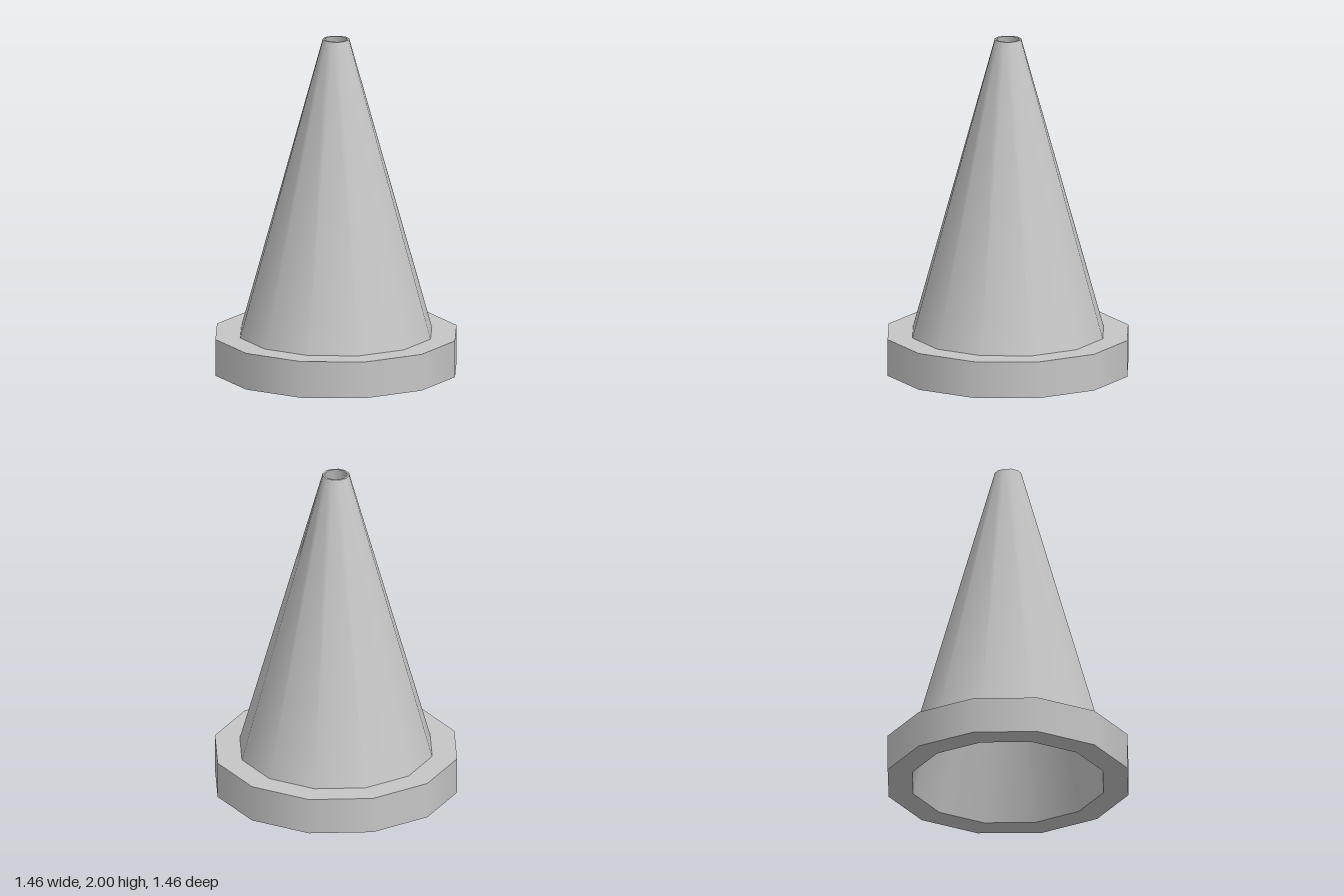
import * as THREE from 'three';

const SIDES = 12;
const HEIGHT = 2;
const BASE_HEIGHT = 0.22;
const BASE_RADIUS = 0.73;
const CONE_RADIUS = 0.58;
const TIP_RADIUS = 0.08;
const HOLE_RADIUS = 0.067;

export function createModel() {
  const model = new THREE.Group();
  model.name = 'trafficCone';
  const grey = new THREE.MeshStandardMaterial({ color: 0xc6c6c6 });
  grey.name = 'plain grey';

  // One ring of faces between two [radius, height] points, smooth around the axis
  const ring = (parent, name, from, to) => {
    const profile = [new THREE.Vector2(...from), new THREE.Vector2(...to)];
    const mesh = new THREE.Mesh(new THREE.LatheGeometry(profile, SIDES), grey);
    mesh.name = name;
    parent.add(mesh);
  };

  // Base collar: wall, top ledge and underside rim
  const base = new THREE.Group();
  base.name = 'base';
  ring(base, 'baseUnderside', [CONE_RADIUS, 0], [BASE_RADIUS, 0]);
  ring(base, 'baseWall', [BASE_RADIUS, 0], [BASE_RADIUS, BASE_HEIGHT]);
  ring(base, 'baseLedge', [BASE_RADIUS, BASE_HEIGHT], [CONE_RADIUS, BASE_HEIGHT]);

  // Hollow cone: outer skin, tip rim and inner skin open at both ends
  const cone = new THREE.Group();
  cone.name = 'cone';
  ring(cone, 'coneOuter', [CONE_RADIUS, BASE_HEIGHT], [TIP_RADIUS, HEIGHT]);
  ring(cone, 'tipRim', [TIP_RADIUS, HEIGHT], [HOLE_RADIUS, HEIGHT]);
  ring(cone, 'coneInner', [HOLE_RADIUS, HEIGHT], [CONE_RADIUS, 0]);

  model.add(base, cone);
  return model;
}
